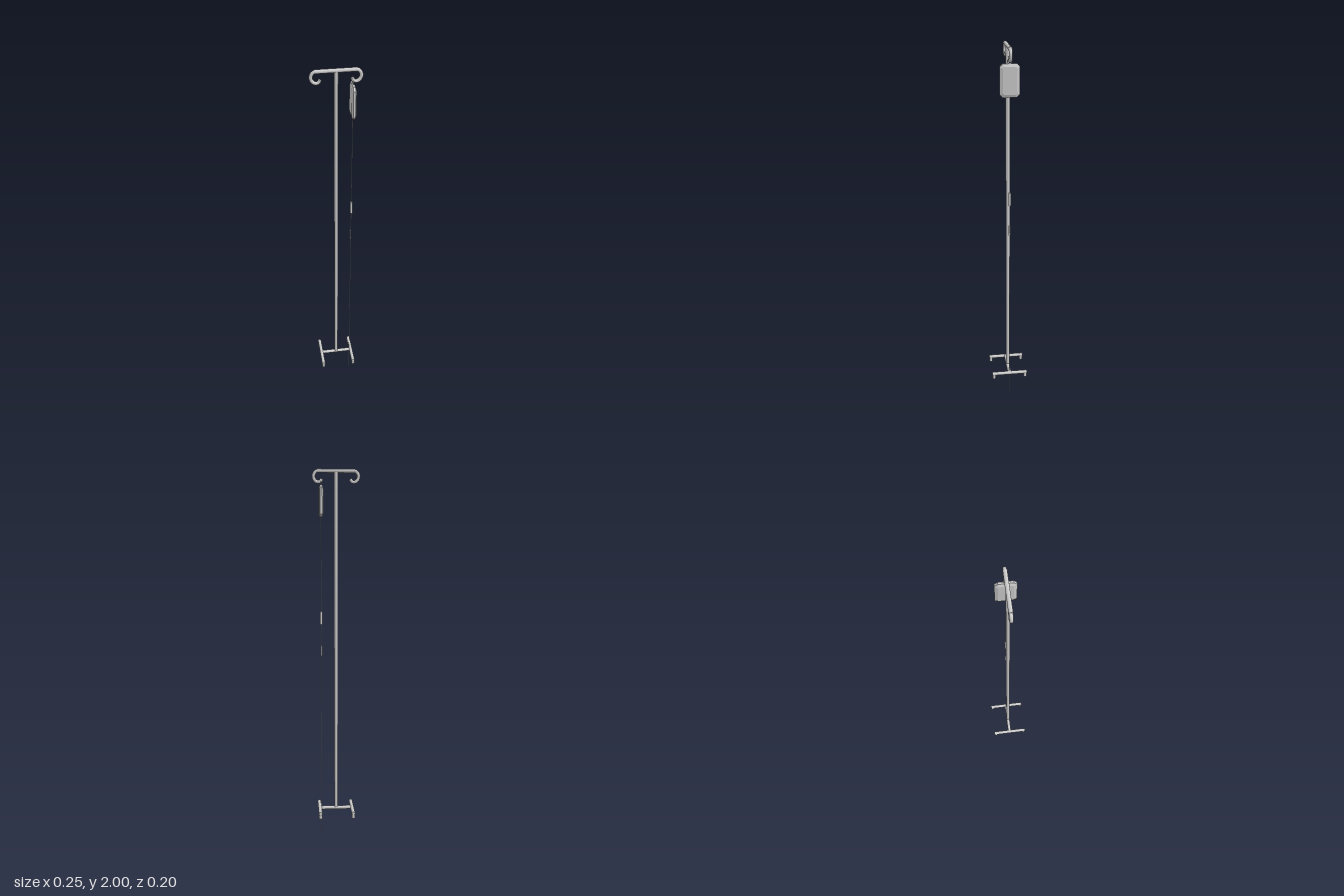
import * as THREE from 'three';

const metal = new THREE.MeshStandardMaterial({ color: 0xcccccc });
const flat = new THREE.MeshStandardMaterial({ color: 0xcccccc, flatShading: true });

export function createModel() {
  const model = new THREE.Group();

  function add(name, geometry, x, y, z, material = metal) {
    const mesh = new THREE.Mesh(geometry, material);
    mesh.name = name;
    mesh.position.set(x, y, z);
    model.add(mesh);
    return mesh;
  }
  const rod = (r, length, sides = 12) => new THREE.CylinderGeometry(r, r, length, sides);

  // Upright pole and top crossbar
  const R = 0.01;
  add('pole', rod(R, 1.838), 0, 1.071, 0);
  add('topBar', rod(R, 0.2), 0, 1.99, 0).rotation.z = Math.PI / 2;

  // Curled hooks at both ends of the crossbar
  for (const s of [-1, 1]) {
    const points = [
      [0.095, 1.99], [0.106, 1.987], [0.118, 1.968], [0.115, 1.948],
      [0.101, 1.934], [0.084, 1.935], [0.075, 1.949],
    ].map(([x, y]) => new THREE.Vector3(s * x, y, 0));
    const curve = new THREE.CatmullRomCurve3(points);
    add('hook', new THREE.TubeGeometry(curve, 12, 0.009, 10), 0, 0, 0);
    const tip = add('hookTip', new THREE.CircleGeometry(0.009, 10), points[6].x, points[6].y, 0);
    tip.lookAt(points[6].clone().add(curve.getTangent(1)));
  }

  // H-shaped base with four feet
  add('baseBar', rod(R, 0.18), 0, 0.152, 0).rotation.z = Math.PI / 2;
  for (const x of [-0.09, 0.09]) {
    add('baseRail', rod(R, 0.2), x, 0.152, 0).rotation.x = Math.PI / 2;
    for (const z of [-0.09, 0.09]) add('foot', rod(0.009, 0.03), x, 0.138, z);
  }

  // Fluid bag: chamfered outline with bevelled faces, thin along x
  const w = 0.035, h = 0.067, c = 0.006;
  const outline = new THREE.Shape([
    [w - c, -h], [w, -h + c], [w, h - c], [w - c, h],
    [-w + c, h], [-w, h - c], [-w, -h + c], [-w + c, -h],
  ].map(([a, b]) => new THREE.Vector2(a, b)));
  const bag = new THREE.ExtrudeGeometry(outline, {
    depth: 0.011, bevelThickness: 0.006, bevelSize: 0.015, bevelSegments: 1,
  });
  bag.translate(0, 0, -0.0055).rotateY(Math.PI / 2);
  add('bag', bag, 0.08, 1.835, 0, flat);
  add('bagLoop', new THREE.TorusGeometry(0.011, 0.002, 6, 16), 0.08, 1.928, 0).rotation.y = Math.PI / 2;

  // Drip line with chamber and flow clamp
  add('dripLine', rod(0.0015, 1.76, 6), 0.08, 0.88, 0);
  add('dripChamber', rod(0.007, 0.07), 0.08, 1.22, 0);
  add('flowClamp', new THREE.BoxGeometry(0.006, 0.055, 0.012), 0.078, 1.043, 0);

  return model;
}
